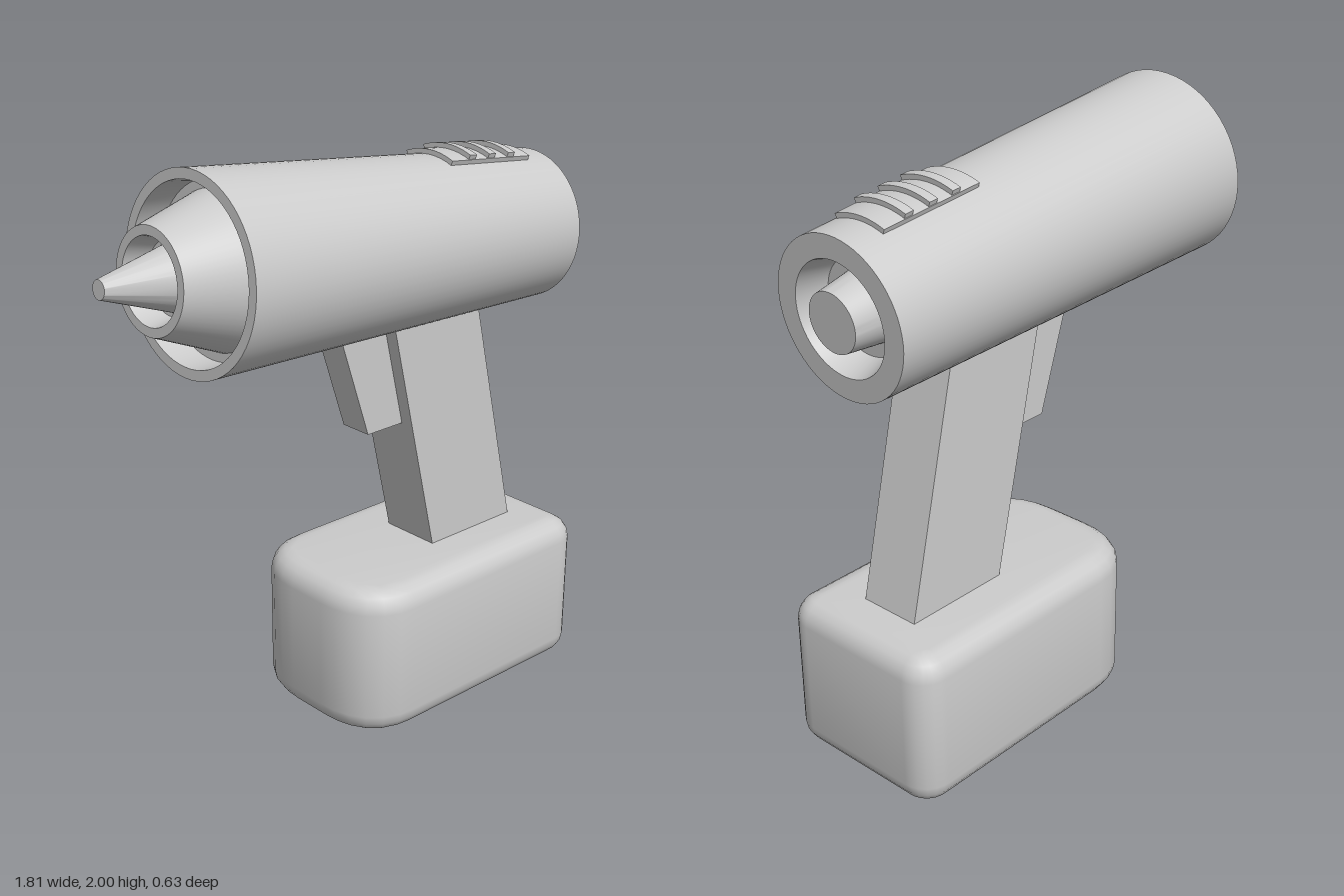
import * as THREE from 'three';
import { toCreasedNormals } from 'three/addons/utils/BufferGeometryUtils.js';

const LENGTH = 1.465, R_FRONT = 0.316, R_REAR = 0.258;
const barrelRadius = (t) => R_FRONT + (R_REAR - R_FRONT) * t / LENGTH;

export function createModel() {
  const model = new THREE.Group();
  model.name = 'cordlessTool';
  const material = new THREE.MeshStandardMaterial({ color: 0xcccccc });

  const add = (parent, name, geometry) => {
    const mesh = new THREE.Mesh(geometry, material);
    mesh.name = name;
    parent.add(mesh);
    return mesh;
  };

  // Barrel assembly: local x runs along the tilted axis from the nozzle end
  const barrel = new THREE.Group();
  barrel.name = 'barrel';
  barrel.position.set(-0.593, 1.685, 0);
  barrel.rotation.z = -0.0737;
  model.add(barrel);

  // Turned part from [radius, distance along axis] pairs
  const turned = (name, profile) => {
    const points = profile.map(([r, t]) => new THREE.Vector2(r, t));
    const geometry = new THREE.LatheGeometry(points, 64).rotateZ(-Math.PI / 2);
    add(barrel, name, toCreasedNormals(geometry, 0.4));
  };

  // Tapered housing, recessed at both ends
  turned('housing', [
    [0, 0.1], [0.275, 0.1], [0.282, 0], [R_FRONT, 0],
    [R_REAR, LENGTH], [0.183, LENGTH], [0.155, LENGTH - 0.1], [0, LENGTH - 0.1],
  ]);
  // Collar with a hollow front, nozzle seated in it
  turned('collar', [[0, -0.06], [0.115, -0.06], [0.135, -0.14], [0.165, -0.14], [0.25, 0.11]]);
  turned('nozzle', [[0, -0.315], [0.03, -0.315], [0.105, -0.05]]);
  // Round knob in the rear recess
  turned('rearKnob', [[0.115, LENGTH - 0.11], [0.096, LENGTH + 0.027], [0, LENGTH + 0.027]]);

  // Pad wrapped over the top of the housing
  const curvedPad = (name, t0, t1, halfAngle, height) => {
    const base = -0.015;
    const geometry = new THREE.BoxGeometry(t1 - t0, height - base, 2 * halfAngle, 1, 1, 12);
    geometry.translate((t0 + t1) / 2, (height + base) / 2, 0);
    const p = geometry.attributes.position;
    for (let i = 0; i < p.count; i++) {
      const r = barrelRadius(p.getX(i)) + p.getY(i), a = p.getZ(i);
      p.setXYZ(i, p.getX(i), r * Math.cos(a), r * Math.sin(a));
    }
    add(barrel, name, toCreasedNormals(geometry, 0.5));
  };
  curvedPad('slidePlate', 0.975, 1.352, 0.37, 0.016);
  for (const t of [1.07, 1.162, 1.256]) curvedPad('slideRib', t - 0.016, t + 0.016, 0.36, 0.032);

  // Slanted blocks: side outline extruded across the width
  const block = (name, outline, width) => {
    const shape = new THREE.Shape(outline.map(([x, y]) => new THREE.Vector2(x, y)));
    const geometry = new THREE.ExtrudeGeometry(shape, { depth: width, bevelEnabled: false });
    add(model, name, geometry.translate(0, 0, -width / 2));
  };
  block('handle', [[0.366, 0.45], [0.752, 0.45], [0.513, 1.48], [0.126, 1.48]], 0.22);
  block('trigger', [[0.08, 1.01], [0.3, 1.01], [0.2, 1.44], [-0.063, 1.44]], 0.12);

  // Battery: plan outline, broadly rounded at the front, with soft edges
  const bevel = 0.075, w = 0.237, end = 0.82, c = 0.025;
  const plan = new THREE.Shape();
  plan.moveTo(0.07, -w);
  plan.lineTo(end - c, -w);
  plan.quadraticCurveTo(end, -w, end, -w + c);
  plan.lineTo(end, w - c);
  plan.quadraticCurveTo(end, w, end - c, w);
  plan.lineTo(0.07, w);
  plan.quadraticCurveTo(-0.07, w, -0.07, 0.07);
  plan.lineTo(-0.07, -0.07);
  plan.quadraticCurveTo(-0.07, -w, 0.07, -w);
  const battery = new THREE.ExtrudeGeometry(plan, {
    depth: 0.54 - 2 * bevel, bevelSize: bevel, bevelThickness: bevel, bevelSegments: 4, curveSegments: 6,
  });
  battery.rotateX(-Math.PI / 2).translate(0, bevel, 0);
  add(model, 'battery', toCreasedNormals(battery, 0.8));

  return model;
}
